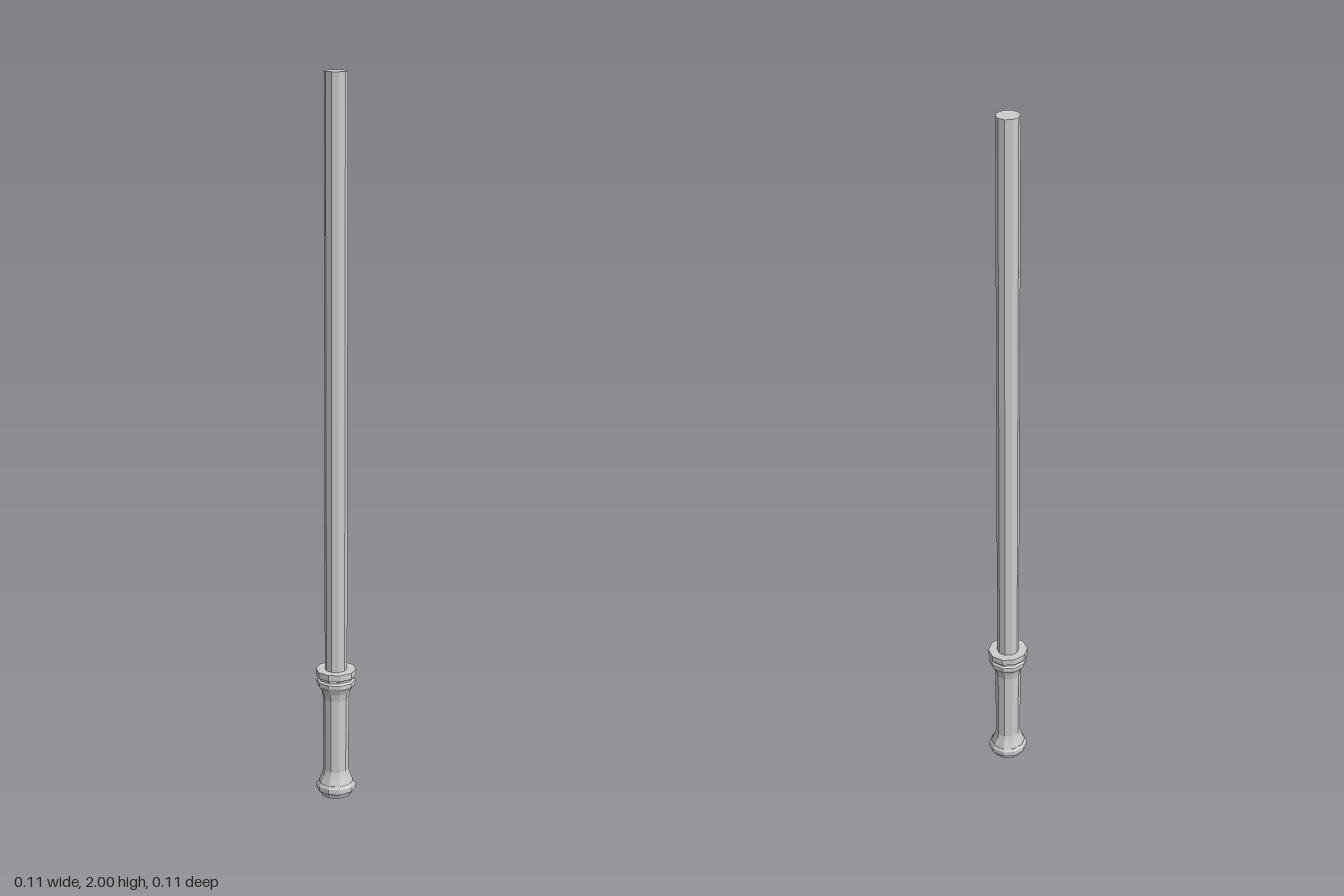
import * as THREE from 'three';

const SIDES = 10;

export function createModel() {
  const model = new THREE.Group();
  const material = new THREE.MeshStandardMaterial({ color: 0xcccccc, flatShading: true });

  // Ten-sided turned part from [radius, height] pairs, bottom to top
  const turned = (name, profile) => {
    const points = profile.map(([r, y]) => new THREE.Vector2(r, y));
    const geometry = new THREE.LatheGeometry(points, SIDES).toNonIndexed();
    geometry.scale(1.05, 1, 1); // slightly wider than deep
    geometry.computeVertexNormals();
    const mesh = new THREE.Mesh(geometry, material);
    mesh.name = name;
    model.add(mesh);
  };

  // Bevelled end cap
  turned('pommel', [
    [0, 0], [0.042, 0], [0.047, 0.012], [0.052, 0.016],
    [0.052, 0.03], [0.047, 0.038], [0, 0.038],
  ]);

  // Handle flaring out at both ends
  turned('grip', [
    [0, 0.036], [0.047, 0.036], [0.038, 0.06], [0.034, 0.075],
    [0.034, 0.29], [0.038, 0.31], [0.046, 0.328], [0, 0.328],
  ]);

  // Two rings with a narrow groove between them
  turned('guard', [
    [0, 0.326], [0.048, 0.326], [0.051, 0.333], [0.051, 0.343], [0.046, 0.348],
    [0.046, 0.353], [0.053, 0.357], [0.053, 0.375], [0, 0.375],
  ]);

  // Long straight rod
  turned('blade', [[0.0295, 0.37], [0.0295, 2], [0, 2]]);

  return model;
}
